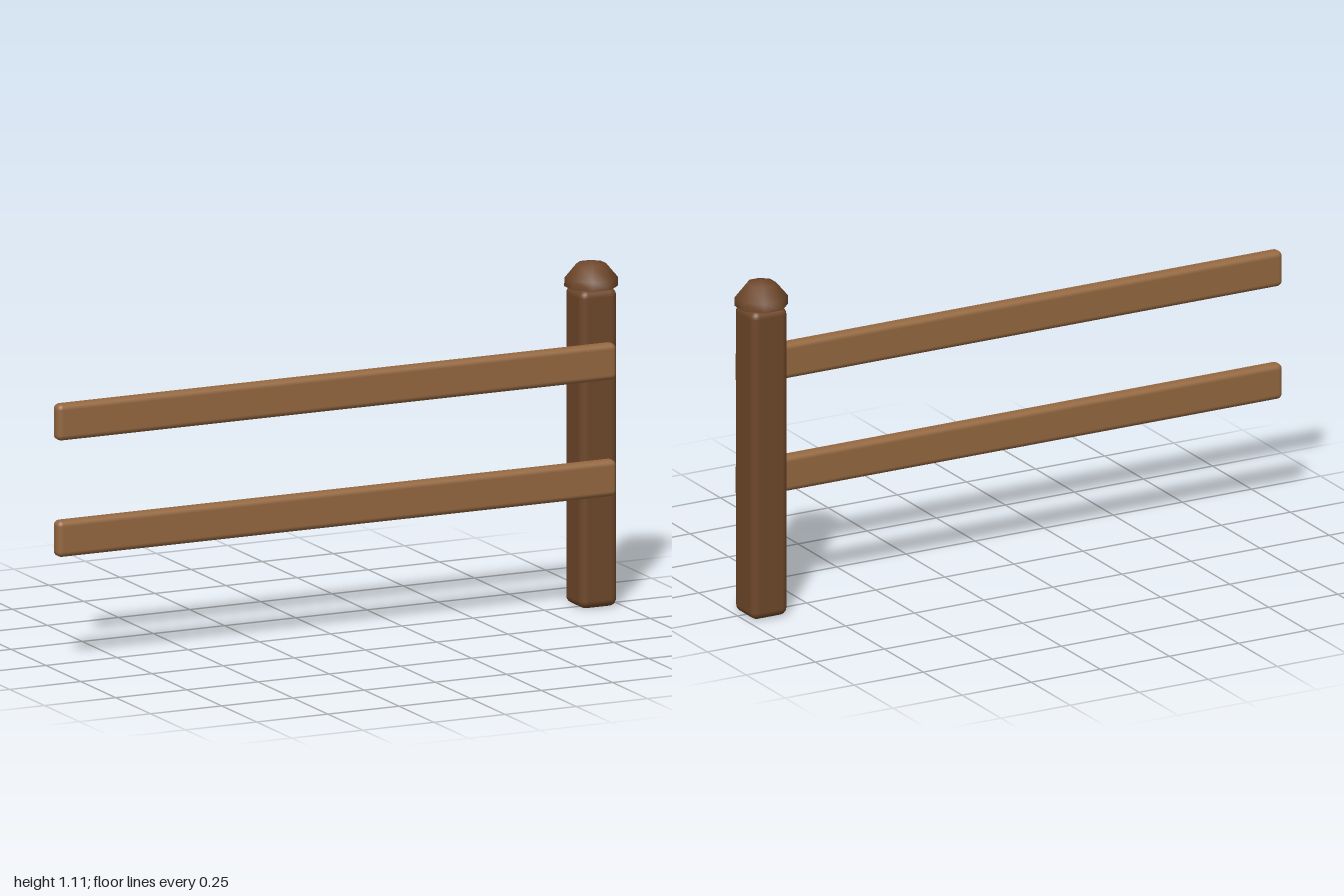
import * as THREE from 'three';
import { RoundedBoxGeometry } from 'three/addons/geometries/RoundedBoxGeometry.js';
import { toCreasedNormals } from 'three/addons/utils/BufferGeometryUtils.js';

const POST_X = 0.92;
const POST_Z = -0.01;

export function createModel() {
  const group = new THREE.Group();
  const darkWood = new THREE.MeshStandardMaterial({ color: 0x6e472a });
  const lightWood = new THREE.MeshStandardMaterial({ color: 0x946840 });

  const add = (name, geometry, material, x, y, z) => {
    const mesh = new THREE.Mesh(geometry, material);
    mesh.name = name;
    mesh.position.set(x, y, z);
    group.add(mesh);
    return mesh;
  };

  // Square post with softened edges
  add('post', new RoundedBoxGeometry(0.13, 1.03, 0.13, 3, 0.025), darkWood, POST_X, 0.515, POST_Z);

  // Eight-sided domed cap, flats facing the axes
  const profile = [[0, 0], [0.0855, 0], [0.0845, 0.028], [0.047, 0.073], [0, 0.083]]
    .map(([r, y]) => new THREE.Vector2(r, y));
  const dome = toCreasedNormals(new THREE.LatheGeometry(profile, 8, Math.PI / 8), Math.PI / 3);
  add('postCap', dome, darkWood, POST_X, 1.031, POST_Z);

  // Two rails let into the front of the post
  const rail = new RoundedBoxGeometry(1.964, 0.118, 0.048, 3, 0.018);
  [['lowerRail', 0.424], ['upperRail', 0.801]].forEach(([name, y]) => {
    add(name, rail, lightWood, -0.018, y, 0.066);
  });

  return group;
}
